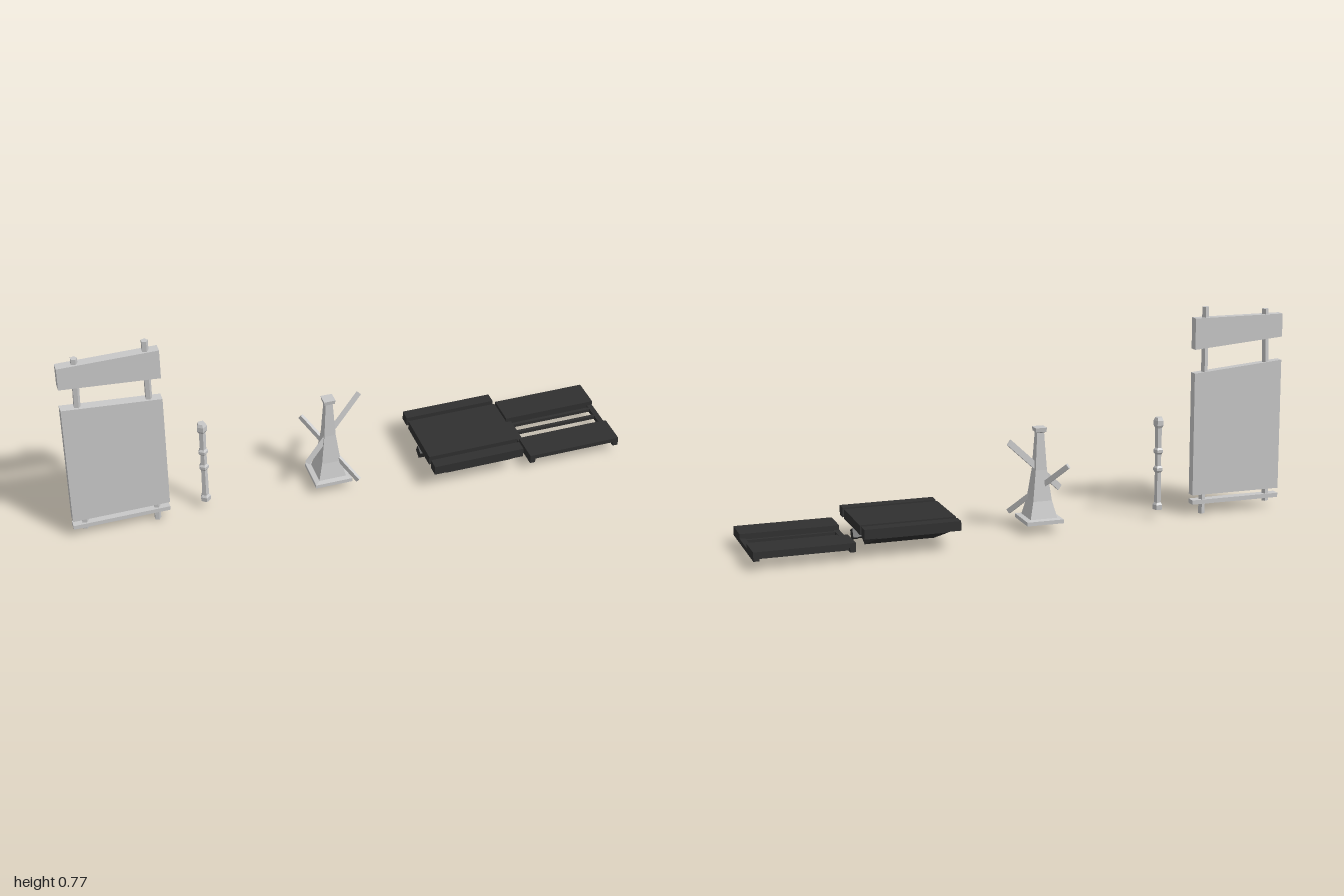
import * as THREE from 'three';

export function createModel() {
  const root = new THREE.Group();
  const pale = new THREE.MeshStandardMaterial({ color: 0xc8c8c8, flatShading: true });
  pale.name = 'pale grey';
  const dark = new THREE.MeshStandardMaterial({ color: 0x303030, flatShading: true });
  dark.name = 'dark grey';

  const group = (name) => {
    const g = new THREE.Group();
    g.name = name;
    root.add(g);
    return g;
  };
  const add = (parent, name, geo, mat) => {
    const m = new THREE.Mesh(geo, mat);
    m.name = name;
    parent.add(m);
    return m;
  };
  // Box given by its limits on each axis
  const box = (parent, name, mat, x0, x1, y0, y1, z0, z1) => {
    const m = add(parent, name, new THREE.BoxGeometry(x1 - x0, y1 - y0, z1 - z0), mat);
    m.position.set((x0 + x1) / 2, (y0 + y1) / 2, (z0 + z1) / 2);
    return m;
  };
  const prism = (points, depth) => new THREE.ExtrudeGeometry(
    new THREE.Shape(points.map(([x, y]) => new THREE.Vector2(x, y))),
    { depth, bevelEnabled: false });
  // Turned or square column from [radius, height] pairs
  const turned = (points, sides, start) => new THREE.LatheGeometry(
    points.map(([r, y]) => new THREE.Vector2(r, y)), sides, start);

  // Signboard: two sloped boards and a thin plank on two posts
  const sign = group('signboard');
  const boards = {
    mainBoard: [[-1, 0.073], [-0.655, 0.073], [-0.655, 0.526], [-1, 0.556]],
    topBoard: [[-1, 0.642], [-0.655, 0.613], [-0.655, 0.727], [-1, 0.727]],
    bottomPlank: [[-1, 0.038], [-0.655, 0.038], [-0.655, 0.054], [-1, 0.054]],
  };
  for (const [name, pts] of Object.entries(boards)) {
    add(sign, name, prism(pts, 0.033), pale).position.z = -0.007;
  }
  for (const [name, xBottom, y0, xTop, y1] of [
    ['leftTiltedPost', -0.956, 0.026, -0.937, 0.747],
    ['straightPost', -0.699, 0, -0.699, 0.766],
  ]) {
    const post = add(sign, name, new THREE.CylinderGeometry(0.0125, 0.0125, y1 - y0, 5), pale);
    post.position.set((xBottom + xTop) / 2, (y0 + y1) / 2, 0.009);
    post.rotation.set(0, Math.PI / 2, 0);
    post.rotation.order = 'ZYX';
    post.rotation.z = -Math.atan2(xTop - xBottom, y1 - y0);
  }

  // Five-sided staff with flared ends and two rings
  const staff = add(root, 'staff', turned([
    [0, 0.032], [0.018, 0.032], [0.019, 0.05], [0.013, 0.058], [0.012, 0.17],
    [0.018, 0.178], [0.018, 0.188], [0.012, 0.195], [0.012, 0.238],
    [0.018, 0.245], [0.018, 0.255], [0.012, 0.262], [0.013, 0.335],
    [0.019, 0.345], [0.019, 0.363], [0.014, 0.374], [0, 0.374],
  ], 5, 0), pale);
  staff.position.set(-0.521, 0, 0.002);

  // Windmill: square tower with plinth and cap
  const mill = group('windmill');
  const q = Math.SQRT2;
  const tower = add(mill, 'tower', turned([
    [0, 0.032], [0.068 * q, 0.032], [0.068 * q, 0.046], [0.05 * q, 0.049],
    [0.035 * q, 0.11], [0.021 * q, 0.22], [0.013 * q, 0.353],
    [0.019 * q, 0.357], [0.021 * q, 0.372], [0, 0.372],
  ], 4, Math.PI / 4), pale);
  tower.position.set(-0.063, 0, 0.001);

  // Two crossing sails that run through the tower
  const sail = (name, a, b, width, thickness) => {
    const start = new THREE.Vector3(...a), end = new THREE.Vector3(...b);
    const along = end.clone().sub(start);
    const length = along.length();
    along.normalize();
    const side = new THREE.Vector3().crossVectors(along, new THREE.Vector3(0, 1, 0)).normalize();
    const up = new THREE.Vector3().crossVectors(side, along);
    const m = add(mill, name, new THREE.BoxGeometry(length, width, thickness), pale);
    m.quaternion.setFromRotationMatrix(new THREE.Matrix4().makeBasis(along, up, side));
    m.position.copy(start).add(end).multiplyScalar(0.5);
  };
  sail('upperSail', [-0.155, 0.135, 0.042], [0.066, 0.335, -0.043], 0.023, 0.006);
  sail('lowerSail', [-0.138, 0.245, -0.09], [0.022, 0.05, 0.09], 0.018, 0.012);

  // Deck platform: centre deck, side rails and a V-shaped hull
  const deck = group('deckPlatform');
  box(deck, 'centreDeck', dark, 0.282, 0.622, 0.071, 0.105, -0.111, 0.111);
  for (const s of [1, -1]) {
    const inner = s * 0.13, outer = s * 0.172;
    box(deck, 'sideRail', dark, 0.282, 0.622, 0.071, 0.105,
      Math.min(inner, outer), Math.max(inner, outer));
  }
  const hull = add(deck, 'hull', prism(
    [[0, 0.004], [0.172, 0.069], [0.172, 0.073], [-0.172, 0.073], [-0.172, 0.069]], 0.25), dark);
  hull.rotation.y = Math.PI / 2;
  hull.position.x = 0.328;
  // Tilted couplers at both ends
  for (const s of [1, -1]) {
    const arm = add(deck, 'couplerArm', new THREE.BoxGeometry(0.04, 0.026, 0.026), dark);
    arm.position.set(0.452 + s * 0.14, 0.044, 0);
    arm.rotation.x = 0.45;
    const head = add(deck, 'couplerHead', new THREE.BoxGeometry(0.022, 0.034, 0.034), dark);
    head.position.set(0.452 + s * 0.16, 0.046, 0);
    head.rotation.x = 0.45;
  }

  // Slatted platform: two side slabs, end frames and open bars
  const slats = group('slattedPlatform');
  for (const s of [1, -1]) {
    const inner = s * 0.062, outer = s * 0.172;
    box(slats, 'sideSlab', dark, 0.652, 1, 0.047, 0.063,
      Math.min(inner, outer), Math.max(inner, outer));
    box(slats, 'underBeam', dark, 0.67, 0.98, 0.034, 0.047, s * 0.11 - 0.045, s * 0.11 + 0.045);
  }
  for (const x of [0.652, 0.98]) {
    box(slats, 'endFrame', dark, x, x + 0.02, 0.031, 0.047, -0.172, 0.172);
  }
  for (const z of [-0.046, 0, 0.046]) {
    box(slats, 'slat', dark, 0.67, 0.982, 0.034, 0.046, z - 0.006, z + 0.006);
  }
  return root;
}
